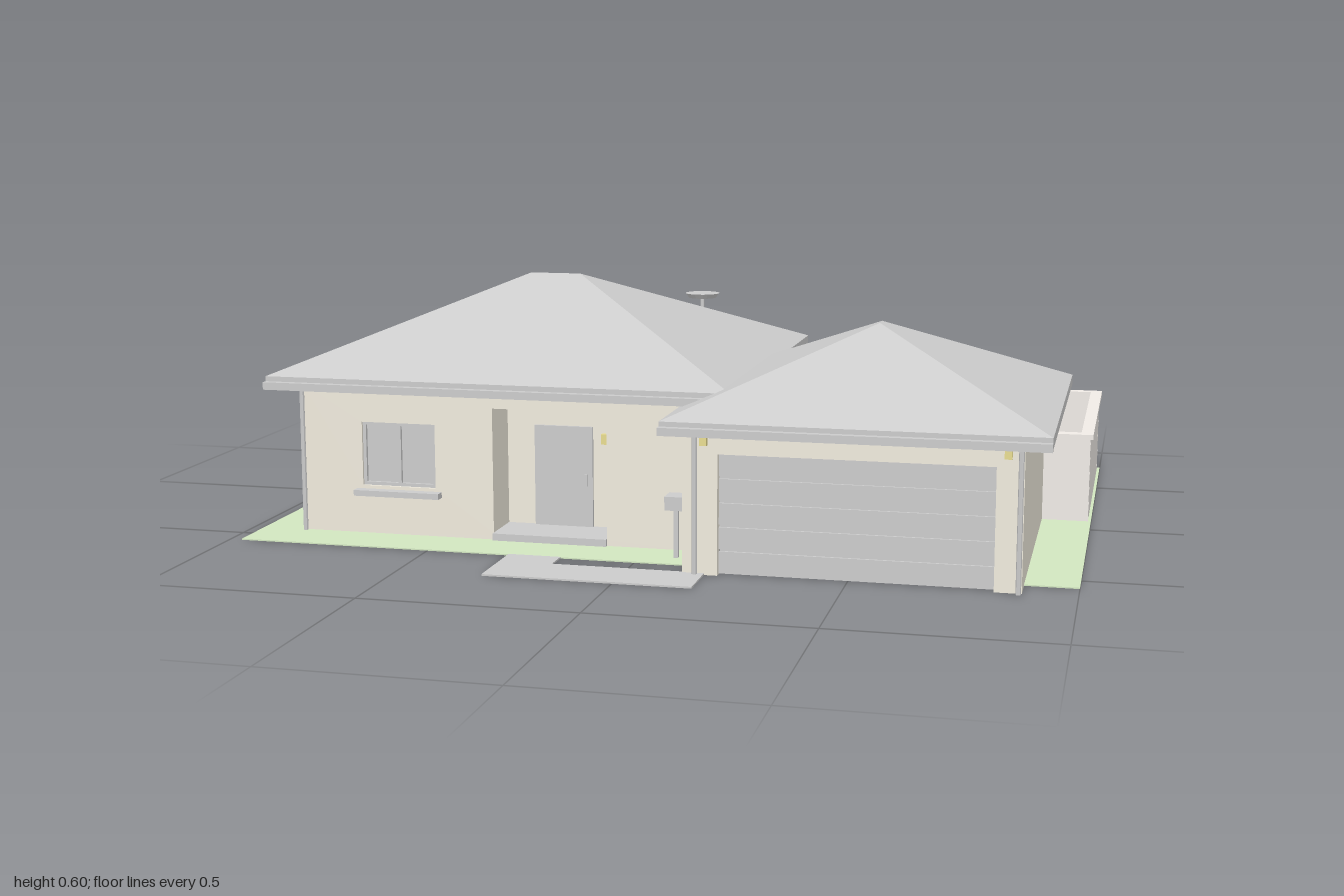
import * as THREE from 'three';

const mat = (color) => new THREE.MeshStandardMaterial({ color, flatShading: true, side: THREE.DoubleSide });
const GREY = mat(0xcccccc), WALL = mat(0xf0ebdd), FENCE = mat(0xf0ebe6), GRASS = mat(0xd2e6c0), LAMP = mat(0xe8dc90);

function add(parent, name, geometry, material = GREY) {
  const mesh = new THREE.Mesh(geometry, material);
  mesh.name = name;
  parent.add(mesh);
  return mesh;
}

// Box given by its extents
function box(parent, name, x0, x1, y0, y1, z0, z1, material) {
  const mesh = add(parent, name, new THREE.BoxGeometry(x1 - x0, y1 - y0, z1 - z0), material);
  mesh.position.set((x0 + x1) / 2, (y0 + y1) / 2, (z0 + z1) / 2);
  return mesh;
}

function outline(points) {
  return points.map(([x, y]) => new THREE.Vector2(x, y));
}

// Flat slab in plan; points are [x, z]
function slab(parent, name, points, height, material) {
  const shape = new THREE.Shape(outline(points.map(([x, z]) => [x, -z])));
  const mesh = add(parent, name, new THREE.ExtrudeGeometry(shape, { depth: height, bevelEnabled: false }), material);
  mesh.rotation.x = -Math.PI / 2;
  return mesh;
}

// Frame, glass, mullion and optional sill set into an opening (local +z is outside)
function windowUnit(parent, [x0, x1, y0, y1], sill) {
  const g = new THREE.Group();
  g.name = sill ? 'window' : 'glassDoor';
  const f = 0.008, zf = -0.006, mid = (x0 + x1) / 2;
  box(g, 'glass', x0, x1, y0, y1, -0.02, -0.014);
  for (const x of [x0, mid - f / 2, x1 - f]) box(g, 'frameUpright', x, x + f, y0, y1, -0.016, zf);
  for (const y of [y0, y1 - f]) box(g, 'frameRail', x0, x1, y, y + f, -0.016, zf);
  if (sill) box(g, 'sill', x0 - 0.015, x1 + 0.015, y0 - 0.022, y0 - 0.008, -0.01, 0.025);
  parent.add(g);
}

// Wall panel with openings, its outer face at local z = 0
function wall(parent, name, x, z, turn, x0, x1, height, openings = []) {
  const g = new THREE.Group();
  g.name = name;
  g.position.set(x, 0, z);
  g.rotation.y = turn;
  const shape = new THREE.Shape(outline([[x0, 0], [x1, 0], [x1, height], [x0, height]]));
  for (const { rect: [a, b, c, d], kind } of openings) {
    shape.holes.push(new THREE.Path(outline([[a, c], [a, d], [b, d], [b, c]])));
    if (kind !== 'open') windowUnit(g, [a, b, c, d], kind === 'window');
  }
  const geometry = new THREE.ExtrudeGeometry(shape, { depth: 0.02, bevelEnabled: false });
  add(g, name + 'Panel', geometry.translate(0, 0, -0.02), WALL);
  parent.add(g);
}

// Hipped roof on a fascia slab; ridge runs from r0 to r1
function hipRoof(parent, name, x0, x1, z0, z1, yLow, yEave, r0, r1, alongX) {
  const g = new THREE.Group();
  g.name = name;
  const a = [x0, yEave, z1], b = [x1, yEave, z1], c = [x1, yEave, z0], d = [x0, yEave, z0];
  // Slopes: front, back, then the two sides
  const faces = alongX
    ? [[a, b, r1], [a, r1, r0], [c, d, r0], [c, r0, r1], [b, c, r1], [d, a, r0]]
    : [[a, b, r1], [c, d, r0], [b, c, r0], [b, r0, r1], [d, a, r1], [d, r1, r0]];
  const geometry = new THREE.BufferGeometry();
  geometry.setAttribute('position', new THREE.Float32BufferAttribute(faces.flat(2), 3));
  geometry.computeVertexNormals();
  add(g, 'roofSlopes', geometry);
  box(g, 'fascia', x0, x1, yLow, yEave, z0, z1);
  box(g, 'gutter', x0, x1, yLow - 0.004, yLow + 0.014, z1, z1 + 0.017);
  parent.add(g);
}

function downpipe(parent, x, z, height) {
  add(parent, 'downpipe', new THREE.CylinderGeometry(0.006, 0.006, height, 8)).position.set(x, height / 2, z);
}

function createModel() {
  const model = new THREE.Group();
  model.name = 'house';

  // Lawn and paved path
  slab(model, 'lawn', [[-0.97, 0.57], [0.14, 0.57], [0.14, -0.45], [0.85, -0.45], [0.85, 0.57],
    [1, 0.57], [1, -0.765], [-0.97, -0.765]], 0.003, GRASS);
  slab(model, 'path', [[-0.3, 0.57], [-0.175, 0.57], [-0.175, 0.635], [0.18, 0.635], [0.18, 0.76], [-0.3, 0.76]], 0.004);

  // Main house walls
  const house = new THREE.Group();
  house.name = 'mainHouse';
  model.add(house);
  const H = 0.365, W = 'window';
  wall(house, 'frontWall', 0, 0.44, 0, -0.86, 0.14, H, [
    { rect: [-0.71, -0.525, 0.12, 0.275], kind: W },
    { rect: [-0.38, -0.1, 0.018, 0.32], kind: 'open' }]);
  wall(house, 'rightWall', -0.86, 0, -Math.PI / 2, -0.44, 0.44, H, [
    { rect: [-0.31, -0.12, 0.12, 0.275], kind: W },
    { rect: [0.14, 0.34, 0.12, 0.275], kind: W }]);
  wall(house, 'backWall', 0, -0.44, Math.PI, -0.14, 0.86, H, [
    { rect: [0.01, 0.195, 0.12, 0.275], kind: W },
    { rect: [0.47, 0.75, 0.006, 0.255], kind: 'door' }]);
  wall(house, 'leftWall', 0.14, 0, Math.PI / 2, -0.44, 0.44, H);

  // Recessed porch with front door
  const porch = new THREE.Group();
  porch.name = 'porch';
  house.add(porch);
  box(porch, 'porchBack', -0.4, -0.08, 0, 0.335, 0.31, 0.325, WALL);
  box(porch, 'porchCeiling', -0.4, -0.08, 0.32, 0.335, 0.31, 0.43, WALL);
  for (const x of [-0.395, -0.1]) box(porch, 'porchSide', x, x + 0.015, 0, 0.335, 0.31, 0.43, WALL);
  box(porch, 'porchStep', -0.38, -0.1, 0, 0.02, 0.32, 0.45);
  box(porch, 'frontDoor', -0.31, -0.165, 0.02, 0.265, 0.325, 0.332);
  box(porch, 'doorHandle', -0.185, -0.178, 0.12, 0.15, 0.332, 0.338);
  box(porch, 'porchLamp', -0.142, -0.125, 0.225, 0.25, 0.325, 0.338, LAMP);

  hipRoof(house, 'mainRoof', -0.925, 0.21, -0.51, 0.505, 0.362, 0.388, [-0.42, 0.598, 0], [-0.29, 0.598, 0], true);
  downpipe(house, -0.86, 0.446, 0.365);
  downpipe(house, 0.125, 0.446, 0.365);

  // Roof vent
  const vent = new THREE.Group();
  vent.name = 'roofVent';
  vent.position.set(-0.04, 0, -0.3);
  add(vent, 'ventPipe', new THREE.CylinderGeometry(0.005, 0.005, 0.09, 10)).position.y = 0.47;
  add(vent, 'ventCap', new THREE.CylinderGeometry(0.045, 0.036, 0.012, 24)).position.y = 0.516;
  house.add(vent);

  // Garage
  const garage = new THREE.Group();
  garage.name = 'garage';
  model.add(garage);
  const G = 0.33;
  box(garage, 'doorLintel', 0.13, 0.88, 0.275, G, 0.62, 0.64, WALL);
  for (const [x0, x1] of [[0.13, 0.21], [0.82, 0.88]]) box(garage, 'doorPier', x0, x1, 0, 0.275, 0.62, 0.64, WALL);
  wall(garage, 'garageLeftWall', 0.88, 0, Math.PI / 2, -0.64, 0.12, G);
  wall(garage, 'garageRightWall', 0.13, 0, -Math.PI / 2, 0.42, 0.64, G);
  wall(garage, 'garageBackWall', 0, -0.12, Math.PI, -0.88, -0.13, G);
  box(garage, 'garageDoor', 0.21, 0.82, 0, 0.275, 0.61, 0.618);
  for (let i = 0; i < 5; i++) box(garage, 'doorSlat', 0.21, 0.82, i * 0.055 + 0.003, i * 0.055 + 0.052, 0.618, 0.624);
  for (const x of [0.18, 0.845]) box(garage, 'garageLamp', x - 0.008, x + 0.008, 0.295, 0.317, 0.64, 0.654, LAMP);
  for (const x of [0.16, 0.873]) downpipe(garage, x, 0.649, G);
  hipRoof(garage, 'garageRoof', 0.09, 0.94, -0.19, 0.693, 0.328, 0.353, [0.515, 0.53, 0.235], [0.515, 0.53, 0.275], false);

  // Yard fence: wall segments with wider caps
  const fence = new THREE.Group();
  fence.name = 'fence';
  model.add(fence);
  const segments = [
    [-0.97, 1, -0.765, -0.735], [-0.97, -0.94, -0.735, -0.105], [0.97, 1, -0.735, -0.105],
    [-0.97, -0.86, -0.105, -0.073], [0.88, 1, -0.105, -0.073]];
  for (const [x0, x1, z0, z1] of segments) {
    const in0 = x0 < -0.9 ? 0.007 : 0, in1 = x1 > 0.99 ? 0.007 : 0;
    const thinX = x1 - x0 < 0.04, e = thinX ? 0 : 0.007;
    box(fence, 'fenceWall', x0 + (thinX ? 0.007 : in0), x1 - (thinX ? 0.007 : in1), 0, 0.21, z0 + e, z1 - e, FENCE);
    box(fence, 'fenceCap', x0, x1, 0.21, 0.222, z0, z1, FENCE);
  }

  // Outdoor cooling unit
  const unit = new THREE.Group();
  unit.name = 'coolingUnit';
  model.add(unit);
  box(unit, 'unitBody', -0.995, -0.905, 0, 0.085, -0.05, 0.045);
  box(unit, 'unitLid', -1, -0.9, 0.085, 0.097, -0.055, 0.05);

  // Mailbox
  const mailbox = new THREE.Group();
  mailbox.name = 'mailbox';
  model.add(mailbox);
  box(mailbox, 'mailPost', 0.08, 0.09, 0, 0.12, 0.505, 0.515);
  box(mailbox, 'mailCase', 0.063, 0.107, 0.118, 0.15, 0.485, 0.535);

  return model;
}

export { createModel };
